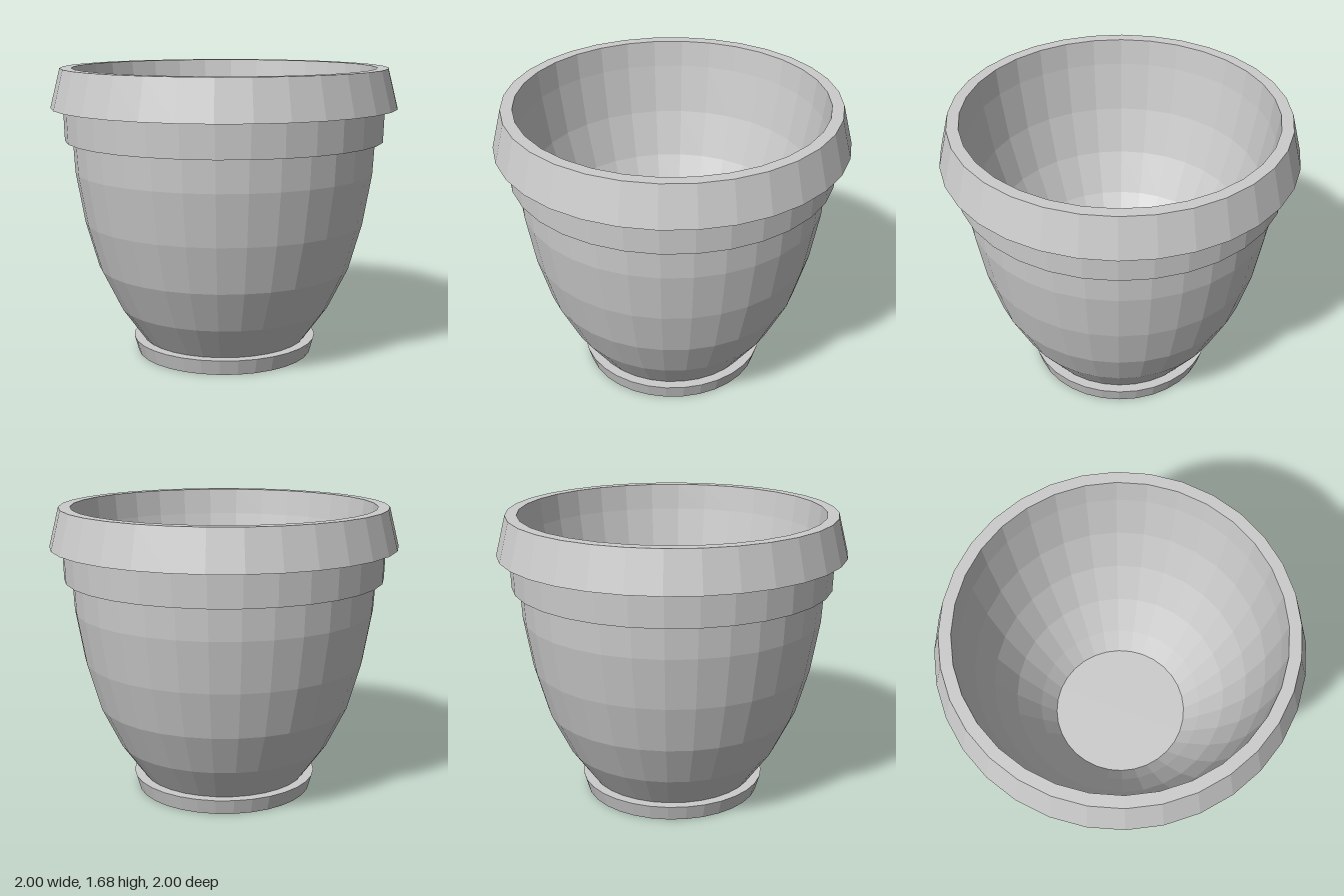
import * as THREE from 'three';

const SIDES = 32;
const material = new THREE.MeshStandardMaterial({ color: 0xcccccc, flatShading: true });

// Revolve a [radius, height] profile; listed upward it faces outward, downward inward.
function ring(name, profile) {
  const points = profile.map(([r, y]) => new THREE.Vector2(r, y));
  const mesh = new THREE.Mesh(new THREE.LatheGeometry(points, SIDES), material);
  mesh.name = name;
  return mesh;
}

export function createModel() {
  const pot = new THREE.Group();
  pot.name = 'flowerPot';

  pot.add(
    // Flared foot with a closed underside and a narrow ledge
    ring('foot', [[0, 0], [0.517, 0], [0.543, 0.09], [0.485, 0.09]]),
    // Rounded outer wall
    ring('outerWall', [
      [0.485, 0.09], [0.625, 0.287], [0.742, 0.527],
      [0.818, 0.797], [0.868, 1.09], [0.878, 1.272],
    ]),
    // Straight band below the rim, with its underside step
    ring('collar', [[0.878, 1.272], [0.923, 1.272], [0.929, 1.46]]),
    // Overhanging rim that tapers towards its flat top
    ring('rim', [[0.929, 1.46], [1, 1.46], [0.943, 1.685], [0.877, 1.685]]),
    // Inside of the pot, from the lip down to the raised floor
    ring('innerWall', [
      [0.877, 1.685], [0.86, 1.53], [0.81, 1.24], [0.73, 0.97],
      [0.62, 0.73], [0.49, 0.53], [0.4, 0.41],
    ]),
    ring('floor', [[0.4, 0.41], [0, 0.41]]),
  );
  return pot;
}
